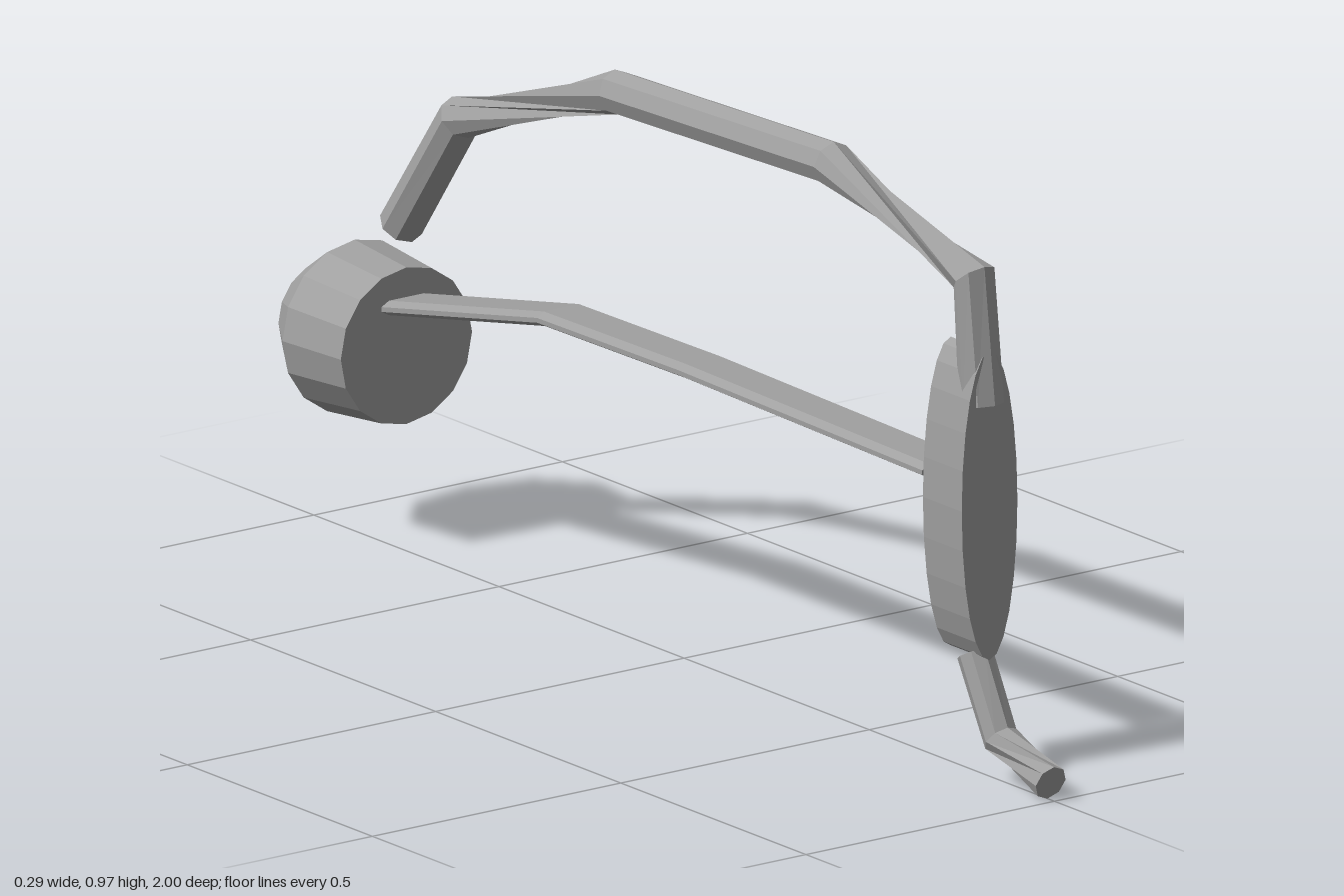
import * as THREE from 'three';

// Sweeps a cross-section [[across, up], ...] along a path of [z, y, twist] points, closing both ends.
function sweep(path, section) {
  const pos = [], index = [], n = section.length;
  const pts = path.map(([z, y]) => new THREE.Vector2(z, y));
  path.forEach(([z, y, twist = 0], i) => {
    const dir = new THREE.Vector2();
    if (i > 0) dir.add(pts[i].clone().sub(pts[i - 1]).normalize());
    if (i < pts.length - 1) dir.add(pts[i + 1].clone().sub(pts[i]).normalize());
    dir.normalize();
    const c = Math.cos(twist), s = Math.sin(twist);
    for (const [a, b] of section) {
      const u = a * c - b * s, v = a * s + b * c;
      pos.push(u, y - dir.x * v, z + dir.y * v);
    }
  });
  for (let i = 0; i < path.length - 1; i++) {
    for (let j = 0; j < n; j++) {
      const a = i * n + j, b = i * n + (j + 1) % n, c = b + n, d = a + n;
      index.push(a, d, b, d, c, b);
    }
  }
  const last = (path.length - 1) * n;
  for (let j = 1; j < n - 1; j++) {
    index.push(0, j, j + 1, last, last + j + 1, last + j);
  }
  const geo = new THREE.BufferGeometry();
  geo.setAttribute('position', new THREE.Float32BufferAttribute(pos, 3));
  geo.setIndex(index);
  const flat = geo.toNonIndexed();
  flat.computeVertexNormals();
  return flat;
}

const octagon = (r) => Array.from({ length: 8 }, (_, i) => {
  const a = i * Math.PI / 4;
  return [r * Math.cos(a), r * Math.sin(a)];
});

export function createModel() {
  const model = new THREE.Group();
  model.name = 'model';
  const grey = new THREE.MeshStandardMaterial({ color: 0xa0a0a0, flatShading: true });
  grey.name = 'grey';
  const add = (name, geometry) => {
    const mesh = new THREE.Mesh(geometry, grey);
    mesh.name = name;
    model.add(mesh);
    return mesh;
  };
  const quarter = Math.PI / 2;

  // Arched upper bar, twisting in two of its sections
  add('upperArch', sweep([
    [0.803, 0.628], [0.783, 0.835], [0.4, 0.935, -quarter],
    [-0.18, 0.915, -quarter], [-0.605, 0.77, -2 * quarter], [-0.765, 0.55, -2 * quarter],
  ], octagon(0.037)));

  // Bent foot below the plate
  add('lowerFoot', sweep([
    [0.785, 0.203], [0.855, 0.075], [0.99, 0.033, quarter],
  ], octagon(0.03)));

  // Flat bevelled strap between the plate and the knob
  const w = 0.05, f = 0.035, t = 0.012, e = 0.004;
  add('strap', sweep([
    [0.71, 0.497], [0.05, 0.507], [-0.33, 0.503], [-0.76, 0.418],
  ], [[w, -e], [w, e], [f, t], [-f, t], [-w, e], [-w, -e], [-f, -t], [f, -t]]));

  // Upright oval plate
  const oval = new THREE.Shape(Array.from({ length: 24 }, (_, i) => {
    const a = i * Math.PI / 12;
    return new THREE.Vector2(0.056 * Math.cos(a), 0.46 + 0.26 * Math.sin(a));
  }));
  add('frontPlate', new THREE.ExtrudeGeometry(oval, { depth: 0.105, bevelEnabled: false }))
    .position.z = 0.72;

  // Round knob with a shallow conical back
  const profile = [[0, 0.75], [0.132, 0.75], [0.145, 0.89], [0.09, 0.975], [0, 1]]
    .map(([r, y]) => new THREE.Vector2(r, y));
  const knob = new THREE.LatheGeometry(profile, 16);
  knob.rotateX(-Math.PI / 2);
  add('rearKnob', knob).position.y = 0.35;

  return model;
}
